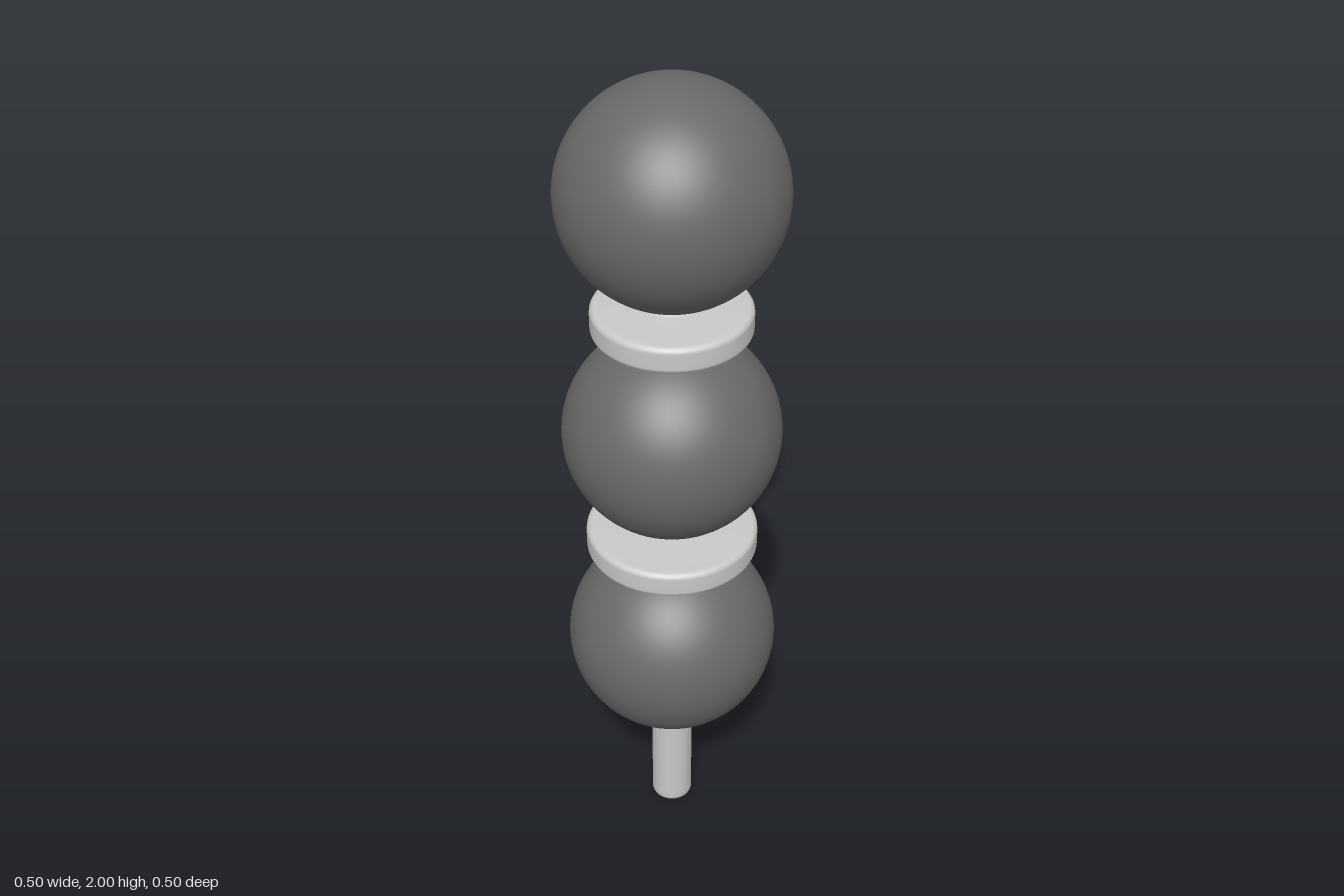
import * as THREE from 'three';

const darkGrey = new THREE.MeshStandardMaterial({ color: 0x696969 });
const lightGrey = new THREE.MeshStandardMaterial({ color: 0xc8c8c8 });
darkGrey.name = 'dark grey';
lightGrey.name = 'light grey';

// Turned solid from [radius, height] pairs, listed bottom to top
function turned(name, profile, material) {
  const points = profile.map(([r, y]) => new THREE.Vector2(r, y));
  const mesh = new THREE.Mesh(new THREE.LatheGeometry(points, 64), material);
  mesh.name = name;
  return mesh;
}

// Collar with a rounded rim, a shallow cone below and a small neck above
function collar(name, radius, y) {
  const profile = [[0, -0.055], [0.068, -0.055], [0.078, -0.048], [0.11, -0.036], [radius - 0.022, -0.032]];
  const corner = 0.014;
  // Rounded lower and upper rim corners
  for (const [centreY, start] of [[-0.018, -Math.PI / 2], [0.018, 0]]) {
    for (let i = 0; i <= 5; i++) {
      const a = start + (i / 5) * Math.PI / 2;
      profile.push([radius - corner + Math.cos(a) * corner, centreY + Math.sin(a) * corner]);
    }
  }
  profile.push([radius - 0.022, 0.0325], [0.068, 0.036], [0.055, 0.04], [0.051, 0.046],
    [0.055, 0.05], [0.055, 0.056], [0, 0.056]);
  const mesh = turned(name, profile, lightGrey);
  mesh.position.y = y;
  return mesh;
}

export function createModel() {
  const model = new THREE.Group();
  model.name = 'stackedBalls';

  // Central rod with a softened foot
  model.add(turned('rod', [[0, 0], [0.044, 0], [0.0475, 0.0015], [0.05, 0.008], [0.05, 0.02], [0.05, 1.6]], lightGrey));

  // Three equal balls
  const ball = new THREE.SphereGeometry(0.249, 64, 48);
  [['lowerBall', 0.56], ['middleBall', 1.155], ['upperBall', 1.751]].forEach(([name, y]) => {
    const mesh = new THREE.Mesh(ball, darkGrey);
    mesh.name = name;
    mesh.position.y = y;
    model.add(mesh);
  });

  // Collars between the balls
  model.add(collar('lowerCollar', 0.2, 0.857), collar('upperCollar', 0.179, 1.452));
  return model;
}
